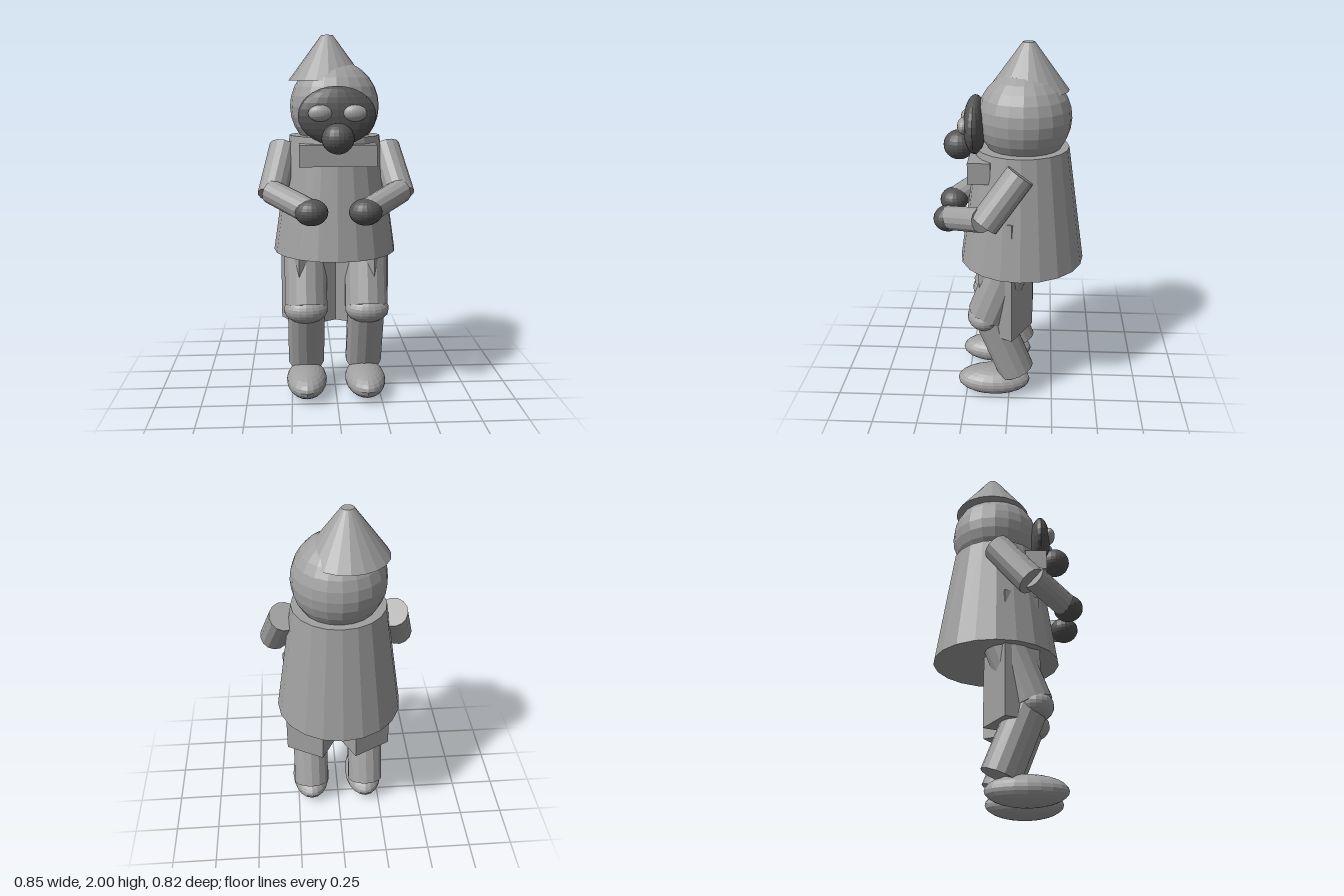
import * as THREE from 'three';

export function createModel() {
  const root = new THREE.Group();
  root.name = 'figure';

  const grey = new THREE.MeshStandardMaterial({ color: 0xa0a0a0, flatShading: true });
  grey.name = 'light grey';
  const dark = new THREE.MeshStandardMaterial({ color: 0x555555, flatShading: true });
  dark.name = 'dark grey';

  function add(name, geometry, material, x = 0, y = 0, z = 0) {
    const mesh = new THREE.Mesh(geometry, material);
    mesh.name = name;
    mesh.position.set(x, y, z);
    root.add(mesh);
    return mesh;
  }

  // Ellipsoid given by centre and three radii
  function ball(name, material, centre, radii) {
    const mesh = add(name, new THREE.SphereGeometry(1, 20, 14), material, ...centre);
    mesh.scale.set(...radii);
    return mesh;
  }

  // Straight cylinder between two points
  function limb(name, material, from, to, radius) {
    const a = new THREE.Vector3(...from);
    const b = new THREE.Vector3(...to);
    const axis = a.clone().sub(b);
    const mesh = add(name, new THREE.CylinderGeometry(radius, radius, axis.length(), 14), material);
    mesh.position.copy(a).add(b).multiplyScalar(0.5);
    mesh.quaternion.setFromUnitVectors(new THREE.Vector3(0, 1, 0), axis.normalize());
    return mesh;
  }

  // Coat, collar, head and crooked hat
  add('coat', new THREE.CylinderGeometry(0.25, 0.345, 0.65, 20), grey, 0, 1.135, -0.065);
  add('collar', new THREE.BoxGeometry(0.41, 0.115, 0.12), grey, 0.005, 1.367, 0.155);
  ball('head', grey, [0, 1.615, -0.075], [0.247, 0.25, 0.25]);
  add('hat', new THREE.CylinderGeometry(0.032, 0.215, 0.245, 20), grey, -0.04, 1.8775, -0.093);

  // Face
  ball('mask', dark, [0, 1.575, 0.187], [0.205, 0.153, 0.062]);
  ball('nose', dark, [0, 1.462, 0.275], [0.085, 0.08, 0.085]);

  // Paired parts
  for (const s of [1, -1]) {
    const side = s > 0 ? 'left' : 'right';
    ball(side + 'Eye', grey, [s * 0.09, 1.59, 0.24], [0.062, 0.043, 0.033]);

    // Arm
    limb(side + 'UpperArm', grey, [s * 0.285, 1.39, -0.063], [s * 0.347, 1.145, 0.12], 0.08);
    limb(side + 'Forearm', grey, [s * 0.35, 1.17, 0.13], [s * 0.15, 1.095, 0.325], 0.066);
    ball(side + 'Hand', dark, [s * 0.14, 1.09, 0.33], [0.087, 0.07, 0.08]);

    // Leg
    limb(side + 'Thigh', grey, [s * 0.17, 0.95, -0.05], [s * 0.168, 0.52, 0.115], 0.12);
    ball(side + 'Knee', grey, [s * 0.17, 0.51, 0.135], [0.122, 0.077, 0.1]);
    limb(side + 'Shin', grey, [s * 0.167, 0.52, 0.105], [s * 0.167, 0.15, -0.04], 0.105);
    ball(side + 'Foot', grey, [s * 0.167, 0.08, 0.09], [0.114, 0.08, 0.21]);

    // Turned block hanging behind the leg
    const block = add(side + 'CoatTail', new THREE.BoxGeometry(0.235, 0.7, 0.21), grey, s * 0.152, 0.77, 0.018);
    block.rotation.y = s * -0.49;
  }

  return root;
}
